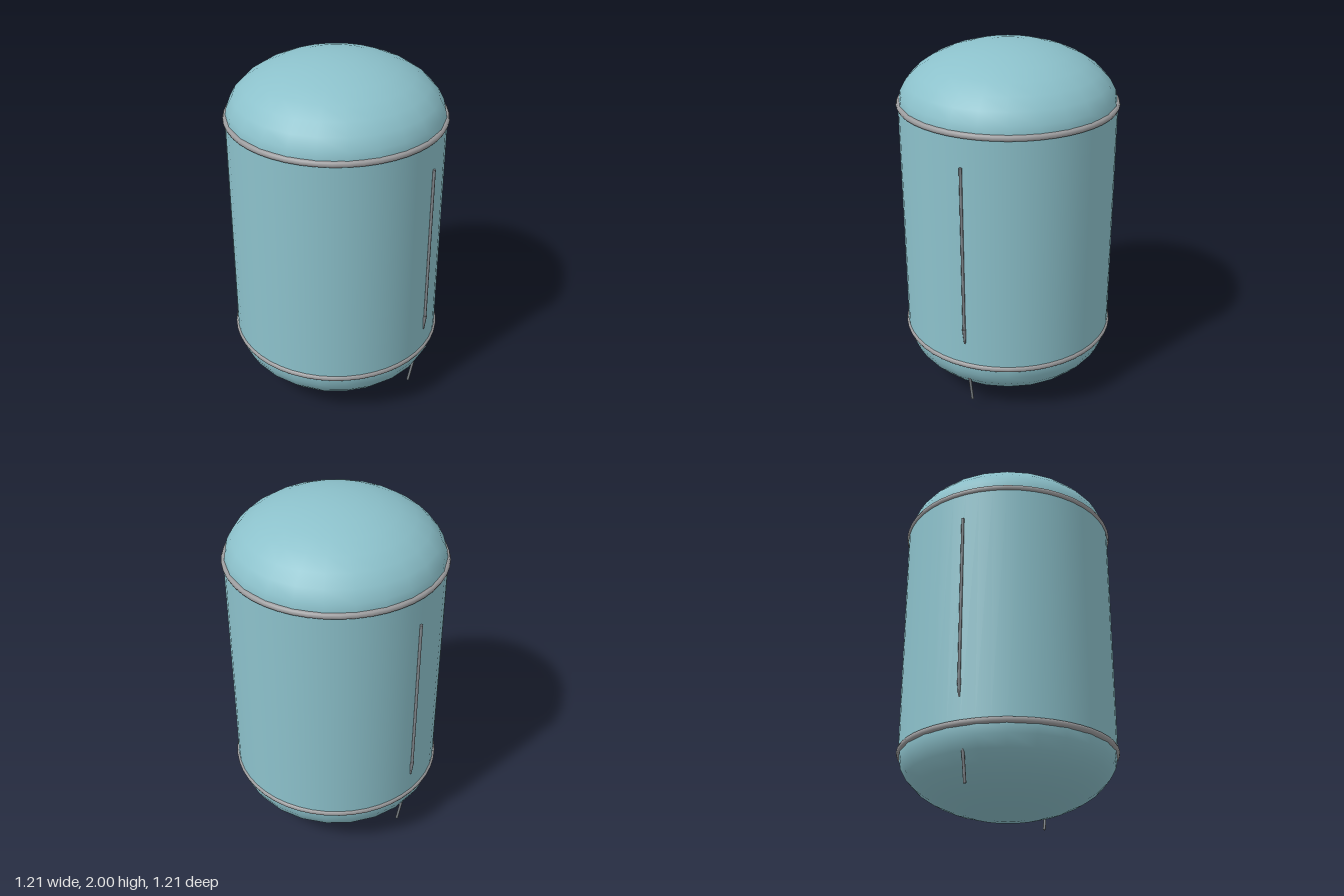
import * as THREE from 'three';

const RADIUS = 0.594, LOW = 0.333, HIGH = 1.667, DOME = 0.333;

// Rod between two points, with a radius for each end
function rod(name, from, to, r0, r1, material) {
  const dir = to.clone().sub(from);
  const mesh = new THREE.Mesh(new THREE.CylinderGeometry(r1, r0, dir.length(), 8), material);
  mesh.position.copy(from).addScaledVector(dir, 0.5);
  mesh.quaternion.setFromUnitVectors(new THREE.Vector3(0, 1, 0), dir.normalize());
  mesh.name = name;
  return mesh;
}

export function createModel() {
  const shell = new THREE.MeshStandardMaterial({ color: 0x8cc1cb });
  shell.name = 'pale teal shell';
  const steel = new THREE.MeshStandardMaterial({ color: 0x9d9d9f });
  steel.name = 'grey steel';
  const dark = new THREE.MeshStandardMaterial({ color: 0x80868b });
  dark.name = 'dark grey metal';

  const model = new THREE.Group();
  model.name = 'tank';

  // Straight wall of the tank
  const wall = new THREE.Mesh(new THREE.CylinderGeometry(RADIUS, RADIUS, HIGH - LOW, 48, 1, true), shell);
  wall.name = 'wall';
  wall.position.y = 1;
  model.add(wall);

  // Flattened domes and the steel hoops over their seams
  for (const [side, y, start] of [['top', HIGH, 0], ['bottom', LOW, Math.PI / 2]]) {
    const dome = new THREE.Mesh(
      new THREE.SphereGeometry(RADIUS, 24, 8, 0, Math.PI * 2, start, Math.PI / 2), shell);
    dome.name = side + 'Dome';
    dome.scale.y = DOME / RADIUS;
    dome.position.y = y;
    model.add(dome);

    const hoop = new THREE.Mesh(new THREE.TorusGeometry(0.588, 0.017, 8, 48), steel);
    hoop.name = side + 'Hoop';
    hoop.rotation.x = Math.PI / 2;
    hoop.position.y = y + (side === 'top' ? 0.008 : 0);
    model.add(hoop);
  }

  // Long gauge rod and short drain rod, repeated on the opposite side
  const angle = THREE.MathUtils.degToRad(21.5);
  const at = (r, y) => new THREE.Vector3(Math.sin(angle) * r, y, Math.cos(angle) * r);
  for (const side of ['front', 'back']) {
    const fittings = new THREE.Group();
    fittings.name = side + 'Fittings';
    fittings.add(
      rod('gaugeRod', at(0.6, 0.56), at(0.6, 1.505), 0.008, 0.008, dark),
      rod('gaugeTip', at(0.594, 0.47), at(0.6, 0.565), 0.005, 0.011, dark),
      rod('drainRod', at(0.512, 0.05), at(0.542, 0.215), 0.008, 0.008, dark));
    if (side === 'back') fittings.rotation.y = Math.PI;
    model.add(fittings);
  }
  return model;
}
